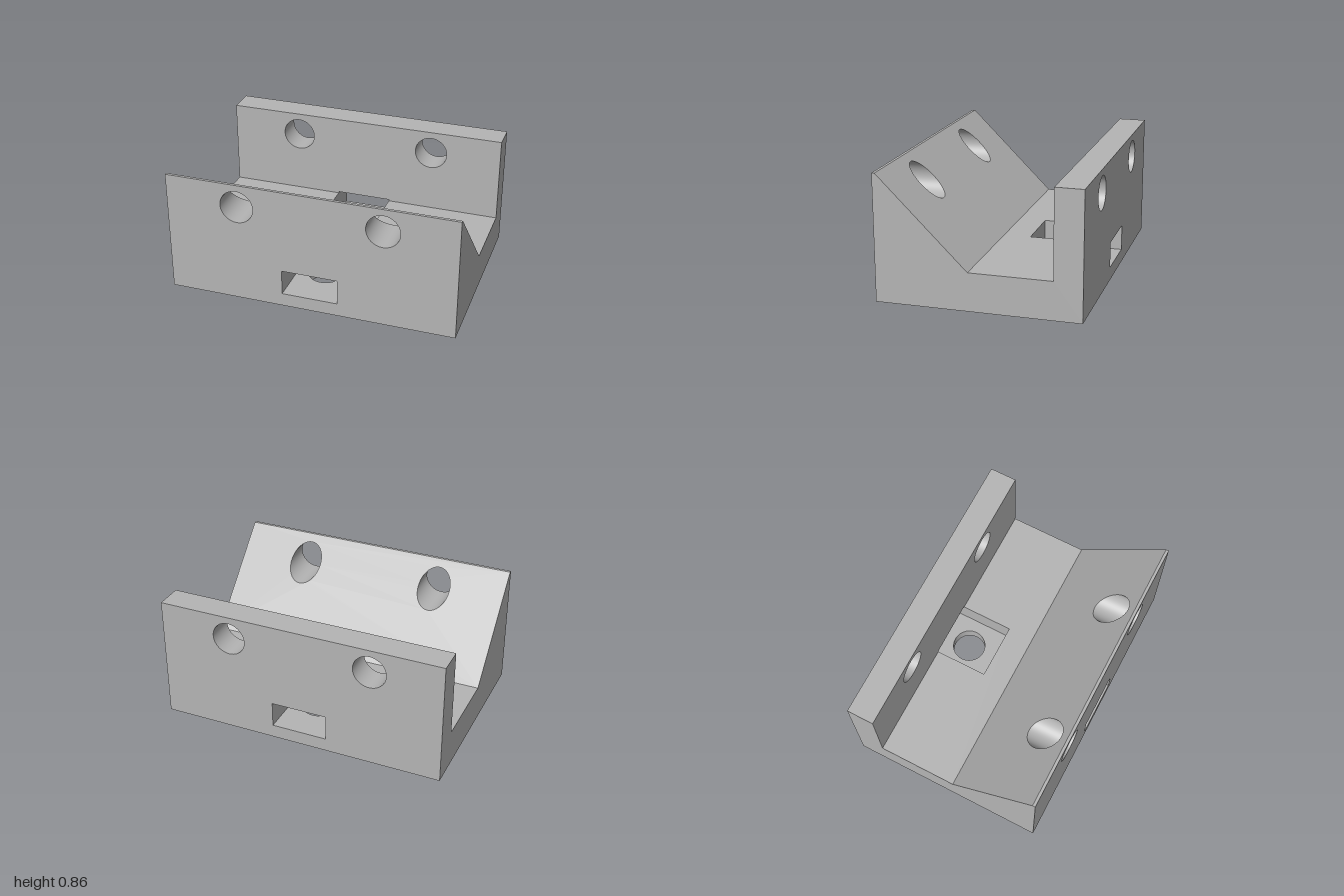
import * as THREE from 'three';

const W = 1, D = 0.685, H = 0.86;              // half width, half depth, height
const FLOOR = 0.26, WALL = 0.495;              // channel floor height, inner face of the rear wall
const RAMP0 = 0.06, RAMP1 = 0.665;             // ramp foot and ramp top in z
const SLOT = { x: 0.195, y0: 0.093, y1: 0.27, end: 0.125 };
const R = 0.115, HOLE_X = 0.5, HOLE_Y = 0.7, BOLT_Z = 0.355;

const rampZ = (y) => RAMP0 + (y - FLOOR) * (RAMP1 - RAMP0) / (H - FLOOR);
const rect = (u0, u1, v0, v1) => [[u0, v0], [u1, v0], [u1, v1], [u0, v1]];
const mirror = (pts) => pts.map(([u, v]) => [-u, v]);
const circle = (cu, cv) => Array.from({ length: 48 }, (_, i) => {
  const a = i / 48 * Math.PI * 2;
  return [cu + R * Math.cos(a), cv + R * Math.sin(a)];
});
const vecs = (pts) => pts.map(([u, v]) => new THREE.Vector2(u, v));

export function createModel() {
  const grey = new THREE.MeshStandardMaterial({ color: 0xb4b4b4 });
  grey.name = 'plain grey';
  const model = new THREE.Group();
  model.name = 'mountingBlock';

  const add = (parent, name, geometry) => {
    const mesh = new THREE.Mesh(geometry, grey);
    mesh.name = name;
    parent.add(mesh);
  };

  // Flat face: 2D outline with holes, placed in space by a (u, v) -> [x, y, z] rule
  const face = (parent, name, outline, holes, place) => {
    const shape = new THREE.Shape(vecs(outline));
    shape.holes = holes.map((h) => new THREE.Path(vecs(h)));
    const g = new THREE.ShapeGeometry(shape);
    const p = g.attributes.position;
    for (let i = 0; i < p.count; i++) p.setXYZ(i, ...place(p.getX(i), p.getY(i)));
    g.computeVertexNormals();
    add(parent, name, g);
  };

  // Smooth inside of a round hole between two placements of the same loop
  const bore = (parent, name, loop, near, far) => {
    const n = loop.length, index = [];
    const pos = [...loop.map(([u, v]) => near(u, v)), ...loop.map(([u, v]) => far(u, v))].flat();
    for (let i = 0; i < n; i++) {
      const j = (i + 1) % n;
      index.push(i, j, n + i, j, n + j, n + i);
    }
    const g = new THREE.BufferGeometry();
    g.setAttribute('position', new THREE.Float32BufferAttribute(pos, 3));
    g.setIndex(index);
    g.computeVertexNormals();
    add(parent, name, g);
  };

  // End faces with the channel profile
  const profile = [[D, 0], [D, H], [RAMP1, H], [RAMP0, FLOOR], [-WALL, FLOOR], [-WALL, H], [-D, H], [-D, 0]];
  face(model, 'leftEnd', mirror(profile), [], (u, v) => [W, v, -u]);
  face(model, 'rightEnd', profile, [], (u, v) => [-W, v, u]);

  const wallHoles = [-1, 1].map((s) => circle(s * HOLE_X, HOLE_Y));
  const boltHoles = [-1, 1].map((s) => circle(0, s * BOLT_Z));

  // Underside and top edges
  face(model, 'underside', rect(-W, W, -D, D), boltHoles, (u, v) => [u, 0, v]);
  face(model, 'frontTopEdge', rect(-W, W, -D, -RAMP1), [], (u, v) => [u, H, -v]);
  face(model, 'rearTopEdge', rect(-W, W, WALL, D), [], (u, v) => [u, H, -v]);

  // Ramp, channel floor and inner rear wall, cut where the rear slot breaks through
  face(model, 'ramp', rect(-W, W, FLOOR, H), wallHoles, (u, v) => [-u, v, rampZ(v)]);
  const { x: sx, y0, y1, end } = SLOT;
  face(model, 'channelFloor',
    [[-W, -RAMP0], [W, -RAMP0], [W, WALL], [sx, WALL], [sx, end], [-sx, end], [-sx, WALL], [-W, WALL]],
    [], (u, v) => [u, FLOOR, -v]);
  face(model, 'innerRearWall',
    [[-W, FLOOR], [-sx, FLOOR], [-sx, y1], [sx, y1], [sx, FLOOR], [W, FLOOR], [W, H], [-W, H]],
    wallHoles, (u, v) => [u, v, -WALL]);

  // Front half, and the rear half turned about y: outer face, wall bores, slot and bolt hole
  for (const name of ['front', 'rear']) {
    const isFront = name === 'front';
    const half = new THREE.Group();
    half.name = name + 'Openings';
    half.rotation.y = isFront ? 0 : Math.PI;
    model.add(half);

    const roofEnd = isFront ? end : WALL;
    const endTop = isFront ? y1 : FLOOR;
    face(half, name + 'Face', rect(-W, W, 0, H), [...wallHoles, rect(-sx, sx, y0, y1)], (u, v) => [u, v, D]);
    wallHoles.forEach((loop) => bore(half, name + 'WallBore', loop,
      (u, v) => [u, v, D], (u, v) => [u, v, isFront ? rampZ(v) : WALL]));

    face(half, name + 'SlotFloor', rect(-sx, sx, -D, -end), [circle(0, -BOLT_Z)], (u, v) => [u, y0, -v]);
    face(half, name + 'SlotRoof', rect(-sx, sx, roofEnd, D), [], (u, v) => [u, y1, v]);
    face(half, name + 'SlotEnd', rect(-sx, sx, y0, endTop), [], (u, v) => [u, v, end]);
    const side = isFront ? rect(end, D, y0, y1)
      : [[end, y0], [D, y0], [D, y1], [WALL, y1], [WALL, FLOOR], [end, FLOOR]];
    face(half, name + 'SlotSide', side, [], (u, v) => [sx, v, u]);
    face(half, name + 'SlotSide', mirror(side), [], (u, v) => [-sx, v, -u]);
    bore(half, name + 'BoltHole', circle(0, BOLT_Z), (u, v) => [u, 0, v], (u, v) => [u, y0, v]);
  }
  return model;
}
